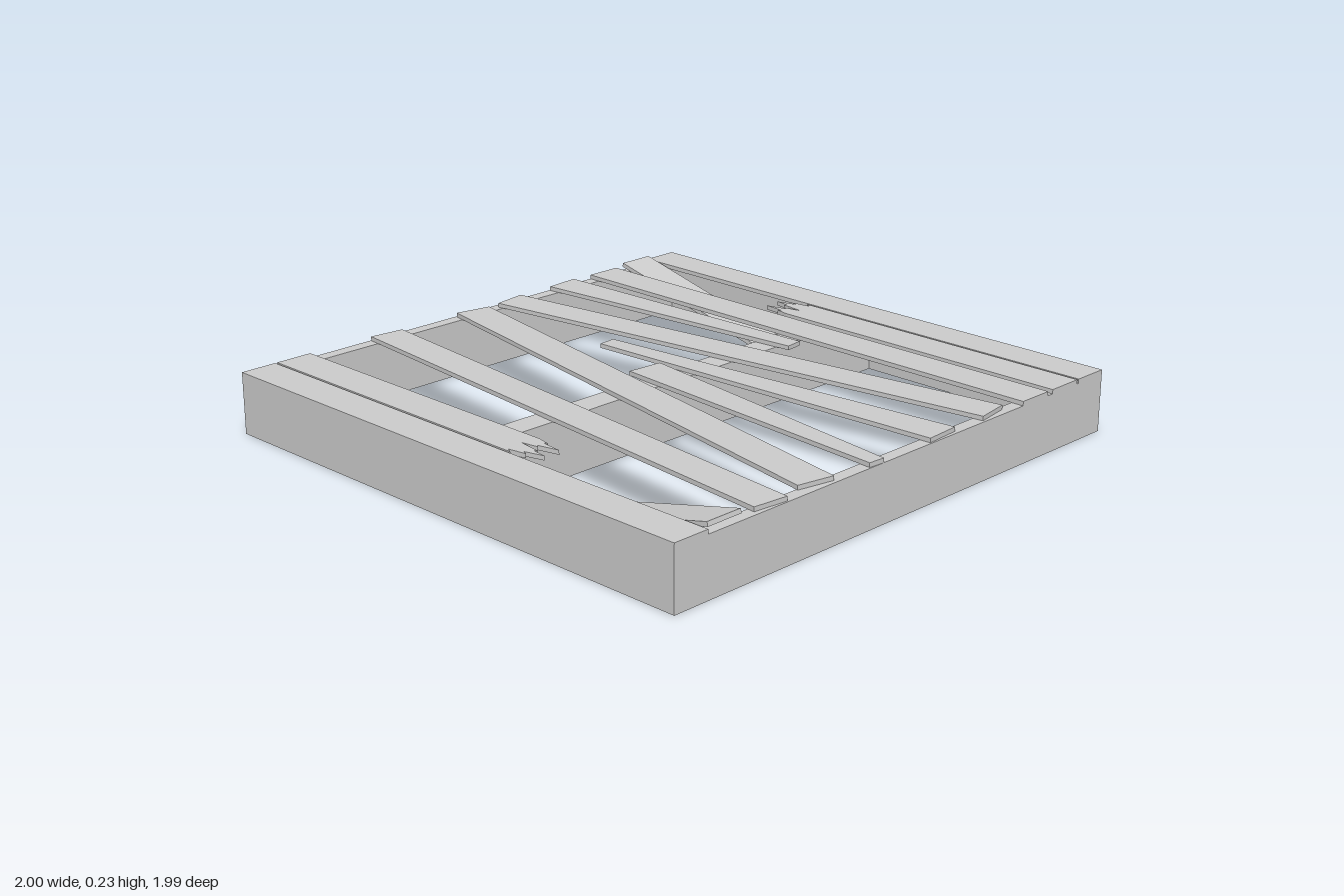
import * as THREE from 'three';

const TOP = 0.215;      // upper face of the boards
const THICK = 0.015;    // board thickness
const BEAM = 0.2;       // height of the frame
const END = 0.993;      // half depth of the frame

const material = new THREE.MeshStandardMaterial({ color: 0xcccccc, flatShading: true });

function add(parent, name, geometry) {
  const mesh = new THREE.Mesh(geometry, material);
  mesh.name = name;
  parent.add(mesh);
  return mesh;
}

function beam(parent, name, w, d, x, z) {
  add(parent, name, new THREE.BoxGeometry(w, BEAM, d)).position.set(x, BEAM / 2, z);
}

// Flat board from an outline of [x, z] points, its upper face at height top
function board(parent, name, outline, top = TOP) {
  const shape = new THREE.Shape(outline.map(([x, z]) => new THREE.Vector2(x, z)));
  const geometry = new THREE.ExtrudeGeometry(shape, { depth: THICK, bevelEnabled: false });
  geometry.rotateX(Math.PI / 2).translate(0, top, 0);
  return add(parent, name, geometry);
}

// Splintered edge, [fraction across the board, depth into the break]
const SPLINTERS = [
  [0, 0.3], [0.08, 0.15], [0.16, 0.62], [0.22, 0.5], [0.36, 1], [0.42, 0.6], [0.47, 0.68],
  [0.55, 0.05], [0.63, 0.5], [0.68, 0.42], [0.82, 0.97], [0.88, 0.4], [0.93, 0.5], [1, 0.15],
];

// Board snapped in two: one half still nailed flat, the other sagging inwards
function brokenBoard(name) {
  const group = new THREE.Group();
  group.name = name;
  const x0 = -0.86, width = 0.135;
  const across = (u) => x0 + u * width;
  board(group, 'flatHalf', [
    [across(0), -END], ...SPLINTERS.map(([u, d]) => [across(u), 0.13 + 0.14 * d]), [across(1), -END],
  ]);
  const length = 0.87;
  const sag = board(group, 'saggingHalf', [
    [across(0), 0], ...SPLINTERS.map(([u, d]) => [across(u), -length + 0.14 * d]), [across(1), 0],
  ], 0);
  sag.rotation.x = -0.24;
  sag.position.set(0, 0.231, 0.98);
  return group;
}

export function createModel() {
  const model = new THREE.Group();
  model.name = 'brokenPlatform';

  // Frame: two side walls, front and back beams, and a middle beam
  const wall = 0.045;
  for (const s of [-1, 1]) {
    beam(model, s > 0 ? 'leftWall' : 'rightWall', wall, 2 * END, s * (1 - wall / 2), 0);
    beam(model, s > 0 ? 'frontBeam' : 'backBeam', 2 - 2 * wall, wall, 0, s * (END - wall / 2));
  }
  beam(model, 'middleBeam', 2 - 2 * wall, 0.09, 0, 0);

  // Straight boards, by their x range
  for (const [name, a, b] of [
    ['rightEdgeBoard', -1, -0.868], ['leftEdgeBoard', 0.868, 1], ['straightBoard', 0.567, 0.7],
  ]) board(model, name, [[a, -END], [b, -END], [b, END], [a, END]]);

  // Skewed and tapered boards, by their corners
  const skewed = [
    [[-0.47, -0.99], [-0.345, -0.977], [-0.54, 0.988], [-0.665, 0.975]],
    [[-0.09, -0.987], [0.04, -0.963], [-0.33, 0.98], [-0.46, 0.955]],
    [[-0.1, -0.1], [0.03, -0.09], [-0.12, 0.993], [-0.18, 0.988]],
    [[0.03, -0.375], [0.095, -0.38], [0.235, 0.98], [0.105, 0.988]],
    [[0.09, -0.97], [0.215, -0.99], [0.495, 0.965], [0.37, 0.985]],
    [[0.36, -0.99], [0.488, -1], [0.525, 0.09], [0.46, 0.097]],
  ];
  skewed.forEach((outline, i) => board(model, `skewedBoard${i + 1}`, outline));

  // The two snapped boards are half a turn apart
  model.add(brokenBoard('rightBrokenBoard'));
  const other = brokenBoard('leftBrokenBoard');
  other.rotation.y = Math.PI;
  model.add(other);

  return model;
}
